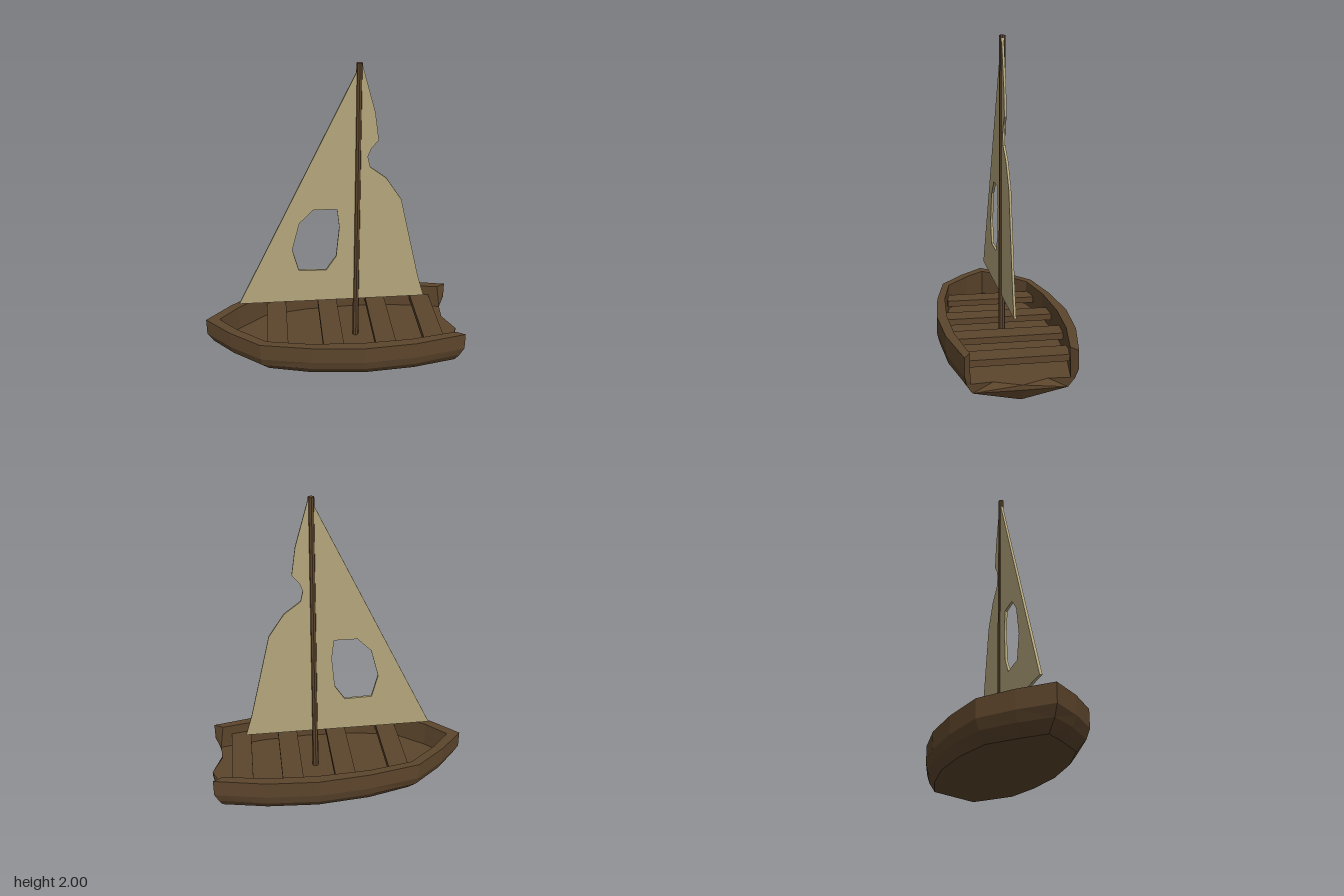
import * as THREE from 'three';

const wood = new THREE.MeshStandardMaterial({ color: 0x5c452c, flatShading: true });
const cloth = new THREE.MeshStandardMaterial({ color: 0xb4a67c, flatShading: true });

// Hull stations from bow to stern:
// outer rim [x, z], lower side [x, z], chine [x, z], keel [x, y], inner rim [x, z]
const stations = [
  { rim: [-0.86, 0], side: [-0.82, 0], chine: [-0.73, 0], keel: [-0.73, 0.05], inner: [-0.77, 0] },
  { rim: [-0.7, 0.165], side: [-0.68, 0.15], chine: [-0.62, 0.11], keel: [-0.62, 0.04], inner: [-0.65, 0.13] },
  { rim: [-0.5, 0.32], side: [-0.49, 0.3], chine: [-0.45, 0.255], keel: [-0.45, 0.025], inner: [-0.46, 0.28] },
  { rim: [-0.17, 0.385], side: [-0.17, 0.37], chine: [-0.17, 0.325], keel: [-0.17, 0], inner: [-0.17, 0.335] },
  { rim: [0.17, 0.415], side: [0.17, 0.4], chine: [0.17, 0.355], keel: [0.17, 0], inner: [0.17, 0.352] },
  { rim: [0.5, 0.39], side: [0.5, 0.375], chine: [0.5, 0.33], keel: [0.5, 0], inner: [0.48, 0.335] },
  { rim: [0.835, 0.318], side: [0.81, 0.305], chine: [0.79, 0.27], keel: [0.8, 0], inner: [0.775, 0.282] },
];

// Half cross-section running floor centre, inner wall, rim, outer wall, keel
function section({ rim, side, chine, keel, inner }, last) {
  return [
    [last ? 0.855 : inner[0], 0.11, 0],
    [last ? 0.79 : inner[0], 0.11, inner[1] * 0.55],
    [last ? 0.8 : inner[0], 0.11, inner[1]],
    [inner[0], 0.28, inner[1]],
    [rim[0], 0.28, rim[1]],
    [rim[0], 0.17, rim[1]],
    [side[0], 0.11, side[1]],
    [chine[0], 0.05, chine[1]],
    [keel[0], keel[1], 0],
  ];
}

function hullGeometry() {
  const rings = stations.map((s, i) => section(s, i === stations.length - 1));
  const out = [];
  // Each triangle is added with its mirror image
  const tri = (a, b, c) => {
    out.push(...a, ...b, ...c);
    for (const p of [a, c, b]) out.push(p[0], p[1], -p[2]);
  };
  for (let s = 0; s < rings.length - 1; s++) {
    const a = rings[s], b = rings[s + 1];
    for (let i = 0; i < a.length - 1; i++) {
      tri(a[i], a[i + 1], b[i]);
      tri(a[i + 1], b[i + 1], b[i]);
    }
  }
  const fan = (pts) => {
    for (let i = 1; i < pts.length - 1; i++) tri(pts[0], pts[i], pts[i + 1]);
  };
  // Stern ends of the side walls, then the low pointed transom
  const e = rings[rings.length - 1];
  fan([e[2], e[3], e[4], e[5], e[6]]);
  fan([e[7], e[8], [0.855, 0.08, 0], e[0], e[1], e[2], e[6]]);
  const g = new THREE.BufferGeometry();
  g.setAttribute('position', new THREE.Float32BufferAttribute(out, 3));
  g.computeVertexNormals();
  return g;
}

function sailGeometry(outline, hole, depth) {
  const toPoints = (list) => list.map(([x, y]) => new THREE.Vector2(x, y));
  const shape = new THREE.Shape(toPoints(outline));
  if (hole) shape.holes.push(new THREE.Path(toPoints(hole)));
  return new THREE.ExtrudeGeometry(shape, { depth, bevelEnabled: false }).translate(0, 0, -depth / 2);
}

export function createModel() {
  const boat = new THREE.Group();
  boat.name = 'sailboat';
  const add = (name, geometry, material, x = 0, y = 0, z = 0) => {
    const mesh = new THREE.Mesh(geometry, material);
    mesh.name = name;
    mesh.position.set(x, y, z);
    boat.add(mesh);
    return mesh;
  };

  add('hull', hullGeometry(), wood);

  // Benches: centre x and half width
  [[-0.385, 0.3], [-0.022, 0.35], [0.322, 0.355], [0.648, 0.31]].forEach(([x, half], i) =>
    add('bench' + (i + 1), new THREE.BoxGeometry(0.135, 0.04, half * 2), wood, x, 0.19));

  add('mast', new THREE.CylinderGeometry(0.019, 0.021, 1.89, 8), wood, 0.15, 1.055);

  // Sail toward the bow, with a torn hole
  add('foreSail', sailGeometry(
    [[-0.63, 0.4], [0.15, 0.4], [0.15, 1.98]],
    [[-0.27, 0.79], [-0.22, 0.98], [-0.13, 1.07], [0.02, 1.07], [0.035, 0.94],
      [0.015, 0.73], [-0.05, 0.63], [-0.23, 0.635]], 0.016), cloth);

  // Sail toward the stern, with a ragged edge
  add('aftSail', sailGeometry(
    [[0.15, 0.4], [0.61, 0.4], [0.565, 0.55], [0.43, 1.12], [0.33, 1.27], [0.225, 1.35],
      [0.21, 1.42], [0.23, 1.47], [0.275, 1.525], [0.25, 1.7], [0.17, 1.98], [0.15, 1.98]],
    null, 0.014), cloth);

  return boat;
}
